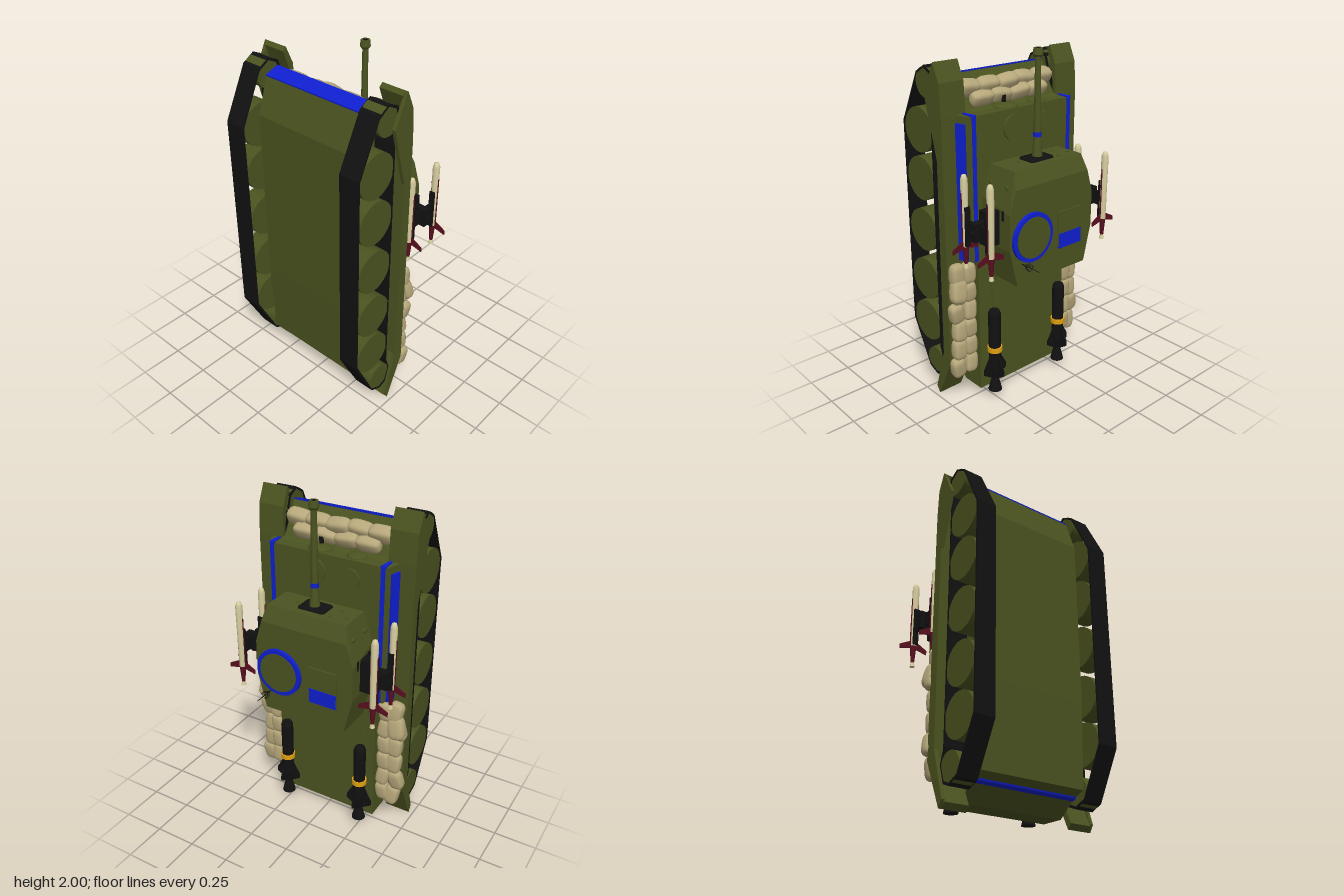
import * as THREE from 'three';
import { ConvexGeometry } from 'three/addons/geometries/ConvexGeometry.js';
import { RoundedBoxGeometry } from 'three/addons/geometries/RoundedBoxGeometry.js';

const paint = (color, extra = {}) => new THREE.MeshStandardMaterial({ color, ...extra });
const green = paint(0x4b5320), blue = paint(0x0f1fd0), black = paint(0x111111), cream = paint(0xd8cfa0);
const maroon = paint(0x5a1020, { side: THREE.DoubleSide }), yellow = paint(0xe0a010), tan = paint(0xb5a67a);
const V = (x, y, z) => new THREE.Vector3(x, y, z);

export function createModel() {
  const model = new THREE.Group();
  model.name = 'tankOnItsTail';

  const add = (name, geo, mat, parent = model) => {
    const mesh = new THREE.Mesh(geo, mat);
    mesh.name = name;
    parent.add(mesh);
    return mesh;
  };
  const box = (name, x, y, z, w, h, d, mat, parent) => {
    const m = add(name, new THREE.BoxGeometry(w, h, d), mat, parent);
    m.position.set(x, y, z);
    return m;
  };
  // Cylinder or cone between two points
  const rod = (name, a, b, ra, rb, mat, parent, sides = 20) => {
    const dir = b.clone().sub(a);
    const m = add(name, new THREE.CylinderGeometry(rb, ra, dir.length(), sides), mat, parent);
    m.position.copy(a).add(b).multiplyScalar(0.5);
    m.quaternion.setFromUnitVectors(V(0, 1, 0), dir.normalize());
    return m;
  };
  // Side profile of [z, y] points extruded across x
  const profile = (name, pts, x, width, mat, hole, parent) => {
    const shape = new THREE.Shape(pts.map(p => new THREE.Vector2(...p)));
    if (hole) shape.holes.push(new THREE.Path(hole.map(p => new THREE.Vector2(...p))));
    const geo = new THREE.ExtrudeGeometry(shape, { depth: width, bevelEnabled: false });
    geo.translate(0, 0, -width / 2).rotateY(-Math.PI / 2);
    const m = add(name, geo, mat, parent);
    m.position.x = x;
    return m;
  };

  // Hull
  profile('hull', [[-0.04, 0.06], [0.1, 0.06], [0.21, 0.15], [0.285, 0.18], [0.305, 0.65], [0.305, 1.64],
    [0.24, 1.84], [0.16, 1.865], [0.06, 1.69], [-0.04, 1.66]], 0, 0.64, green);
  profile('nosePlate', [[0.16, 1.84], [0.238, 1.82], [0.242, 1.845], [0.158, 1.872]], 0, 0.642, blue);
  profile('rearStrip', [[0.205, 0.15], [0.2, 0.138], [0.225, 0.148], [0.23, 0.162]], 0, 0.642, blue);
  add('superstructure', new ConvexGeometry([-1, 1].flatMap(s => [0.88, 1.68].flatMap(y =>
    [V(s * 0.36, y, -0.045), V(s * 0.385, y, 0.05), V(s * 0.3, y, 0.1)]))), green);
  box('engineCover', 0, 0.42, -0.04, 0.46, 0.6, 0.01, green);
  box('engineGrille', 0, 0.75, -0.042, 0.4, 0.04, 0.014, green);

  // Front plate fittings and roof hatches
  for (const [x, r] of [[-0.15, 0.055], [0.07, 0.07]]) {
    const dome = add('frontDome', new THREE.SphereGeometry(r, 24, 12), green);
    dome.scale.y = 0.35;
    dome.position.set(x, 1.68, 0.025);
    rod('roofHatch', V(x, 1.58, -0.04), V(x, 1.58, -0.056), r, r, green);
  }
  rod('hullGun', V(0.07, 1.68, 0.03), V(0.07, 1.74, 0.03), 0.012, 0.012, black);

  // Track loop outline
  const loop = [[0.41, 0.4], [0.41, 1.6], [0.27, 1.88], [0.2, 1.92], [0.14, 1.89], [0.12, 1.83], [0.15, 1.7],
    [0.15, 0.29], [0.12, 0.2], [0.15, 0.12], [0.2, 0.1], [0.27, 0.13]];
  const loopHole = loop.map(([z, y]) => [0.27 + (z - 0.27) * 0.93, 1 + (y - 1) * 0.986]);
  const wheels = [[0.275, 0.43, 0.123], [0.275, 0.7, 0.123], [0.275, 1, 0.123], [0.275, 1.3, 0.123],
    [0.275, 1.57, 0.123], [0.2, 1.832, 0.08], [0.205, 0.19, 0.082]];

  // Sandbag: a sphere squared off into a pillow
  const bagGeo = new THREE.SphereGeometry(1, 18, 12);
  const bp = bagGeo.attributes.position;
  for (let i = 0; i < bp.count; i++) {
    const q = [bp.getX(i), bp.getY(i), bp.getZ(i)].map(v => Math.sign(v) * Math.abs(v) ** 0.6);
    bp.setXYZ(i, ...q);
  }
  bagGeo.computeVertexNormals();
  const bag = (x, y, z, sx, sy, sz, tilt, roll) => {
    const m = add('sandbag', bagGeo, tan);
    m.position.set(x, y, z);
    m.scale.set(sx, sy, sz);
    m.rotation.set(roll, 0, tilt);
  };

  for (const s of [-1, 1]) {
    // Running gear
    const gear = new THREE.Group();
    gear.name = s > 0 ? 'leftRunningGear' : 'rightRunningGear';
    model.add(gear);
    profile('track', loop, s * 0.395, 0.12, black, loopHole, gear);
    for (const [z, y, r] of wheels)
      rod('roadWheel', V(s * 0.34, y, z), V(s * 0.452, y, z), r, r, green, gear, 36);

    // Fender and its outer skirt
    profile('fender', [[0.095, 1.95], [0.05, 1.85], [0.04, 1.68], [0.04, 0.25], [0.155, 0], [0.18, 0.03],
      [0.07, 0.27], [0.06, 1.66], [0.075, 1.82], [0.115, 1.93]], s * 0.39, 0.14, green);
    profile('skirt', [[0.095, 1.95], [0.05, 1.85], [0.04, 1.68], [0.04, 0.25], [0.155, 0], [0.18, 0.04],
      [0.1, 0.3], [0.09, 1.45], [0.18, 1.78]], s * 0.465, 0.02, green);

    // Blue trim on the superstructure
    box('roofStripe', s * 0.335, 1.28, -0.045, 0.025, 0.8, 0.006, blue);
    box('sidePanel', s * 0.375, 1.26, 0.01, 0.02, 0.76, 0.06, blue).rotation.y = s * 0.25;
    add('frontWedge', new ConvexGeometry([1.67, 1.686].flatMap(y =>
      [V(s * 0.32, y, -0.046), V(s * 0.352, y, -0.046), V(s * 0.345, y, 0.035), V(s * 0.33, y, 0.035)])), blue);

    // Sandbags along the rear fenders
    for (let i = 0; i < 6; i++) {
      const w = Math.sin(i * 2.3 + s);
      bag(s * 0.365, 0.25 + i * 0.112, -0.002, 0.04, 0.062, 0.036, w * 0.15, w * 0.12);
      bag(s * (0.43 + 0.012 * w), 0.23 + i * 0.116, 0.012, 0.044, 0.064, 0.034, -w * 0.2, -w * 0.15);
    }
    bag(s * 0.435, 0.72, -0.005, 0.05, 0.07, 0.035, s * 0.2, 0.2);

    // Rear bombs
    const bomb = new THREE.Group();
    bomb.name = 'rearBomb';
    bomb.position.set(s * 0.25, 0, -0.085);
    model.add(bomb);
    const outline = [[0, 0.05], [0.04, 0.05], [0.02, 0.13], [0.034, 0.2], [0.036, 0.55], [0.028, 0.57], [0, 0.57]];
    add('bombBody', new THREE.LatheGeometry(outline.map(p => new THREE.Vector2(...p)), 20), paint(0x111111, { flatShading: true }), bomb);
    rod('bombBand', V(0, 0.308, 0), V(0, 0.338, 0), 0.043, 0.043, yellow, bomb);
    for (let k = 0; k < 4; k++) {
      const fin = profile('bombFin', [[0.02, 0.13], [0.08, 0.17], [0.08, 0.2], [0.03, 0.29]], 0, 0.008, black, null, bomb);
      fin.rotation.y = k * Math.PI / 2;
    }

    // Launcher arm
    const arm = new THREE.Group();
    arm.name = 'launcherArm';
    model.add(arm);
    box('armBlock', s * 0.32, 1.115, -0.155, 0.1, 0.19, 0.075, black, arm);
    box('armBeam', s * 0.4, 1.115, -0.16, 0.1, 0.1, 0.045, black, arm);
    rod('armTip', V(s * 0.435, 1.115, -0.16), V(s * 0.46, 1.115, -0.16), 0.025, 0.004, black, arm, 8);
    box('armStrut', s * 0.415, 1.115, -0.16, 0.014, 0.08, 0.17, black, arm);

    // Missiles above and below the arm
    for (const z of [-0.265, -0.055]) {
      const missile = new THREE.Group();
      missile.name = 'missile';
      missile.position.set(s * 0.415, 0, z);
      model.add(missile);
      box('missileRail', 0, 1.115, z < -0.16 ? 0.022 : -0.022, 0.03, 0.22, 0.012, black, missile);
      const line = [[0, 0.995], [0.018, 1], [0.02, 1.37], [0.012, 1.395], [0, 1.4]];
      add('missileBody', new THREE.LatheGeometry(line.map(p => new THREE.Vector2(...p)), 16), cream, missile);
      rod('missileTail', V(0, 0.9, 0), V(0, 1, 0), 0.01, 0.018, maroon, missile);
      rod('missileNozzle', V(0, 0.875, 0), V(0, 0.905, 0), 0.014, 0.008, cream, missile);
      for (const t of [-1, 1]) {
        const fin = new THREE.Shape([[0, 1.04], [0.085 * t, 0.995], [0.085 * t, 0.97], [0, 0.99]].map(p => new THREE.Vector2(...p)));
        add('missileFin', new THREE.ExtrudeGeometry(fin, { depth: 0.006, bevelEnabled: false }), maroon, missile).position.z = -0.003;
        box('missileStripe', 0.018 * t, 1.15, 0, 0.008, 0.3, 0.006, maroon, missile);
      }
    }

    // Turret side pods
    for (const z of [-0.22, -0.095]) {
      rod('sidePod', V(s * 0.285, 1.16, z), V(s * 0.285, 1.215, z), 0.016, 0.016, black);
      box('sidePodLamp', s * 0.275, 1.215, z, 0.018, 0.014, 0.024, blue);
      rod('sideBolt', V(s * 0.25, 1.33, z), V(s * 0.275, 1.33, z), 0.012, 0.012, green);
    }
  }

  // Sandbags on the nose, in two staggered rows
  for (let i = 0; i < 5; i++) {
    const w = Math.sin(i * 2.1);
    bag(-0.25 + i * 0.125, 1.79, 0.1 + 0.008 * w, 0.075, 0.045, 0.042, w * 0.15, -0.5);
    if (i < 4) bag(-0.19 + i * 0.127, 1.735, 0.068, 0.072, 0.04, 0.036, -w * 0.15, -0.5);
  }

  // Turret
  rod('turretRing', V(0, 1.1, -0.03), V(0, 1.1, -0.06), 0.25, 0.25, green, model, 40);
  add('turret', new ConvexGeometry([-1, 1].flatMap(s => [
    V(s * 0.24, 1.42, -0.06), V(s * 0.24, 1.42, -0.245), V(s * 0.29, 1.25, -0.05), V(s * 0.26, 1.33, -0.28),
    V(s * 0.3, 1.2, -0.28), V(s * 0.29, 1.0, -0.05), V(s * 0.3, 1.0, -0.28),
    V(s * 0.25, 0.79, -0.055), V(s * 0.25, 0.79, -0.28)])), green);
  for (const [x, z] of [[-0.205, -0.175], [-0.115, -0.195], [-0.145, -0.112], [0.12, -0.14]])
    rod('frontBolt', V(x, 1.41, z), V(x, 1.425, z), 0.01, 0.01, green);

  // Gun
  const mantlet = add('mantlet', new RoundedBoxGeometry(0.16, 0.03, 0.11, 3, 0.014), black);
  mantlet.position.set(0, 1.42, -0.15);
  const gz = -0.155;
  rod('gunSleeve', V(0, 1.42, gz), V(0, 1.54, gz), 0.03, 0.02, green);
  rod('gunBand', V(0, 1.54, gz), V(0, 1.565, gz), 0.022, 0.022, blue);
  rod('gunBarrel', V(0, 1.565, gz), V(0, 1.97, gz), 0.02, 0.015, green);
  rod('muzzleCollar', V(0, 1.955, gz), V(0, 1.967, gz), 0.02, 0.028, green);
  rod('muzzleBrake', V(0, 1.967, gz), V(0, 2, gz), 0.028, 0.024, green);
  rod('bore', V(0, 1.99, gz), V(0, 2, gz), 0.013, 0.013, black).scale.y = 1.02;

  // Roof of the turret: cupola, vision panel, cover, antenna
  rod('cupolaLid', V(0.15, 1.05, -0.27), V(0.15, 1.05, -0.303), 0.115, 0.115, green, model, 40);
  const ring = new THREE.Shape().absarc(0, 0, 0.138, 0, Math.PI * 2);
  ring.holes.push(new THREE.Path().absarc(0, 0, 0.114, 0, Math.PI * 2));
  add('cupolaRing', new THREE.ExtrudeGeometry(ring, { depth: 0.025, bevelEnabled: false, curveSegments: 24 }), blue)
    .position.set(0.15, 1.05, -0.299);
  box('roofCover', -0.125, 1.04, -0.28, 0.17, 0.2, 0.02, green);
  box('roofPanel', -0.125, 0.97, -0.284, 0.165, 0.085, 0.02, blue);
  rod('antenna', V(0.215, 0.91, -0.28), V(0.215, 0.91, -0.41), 0.003, 0.002, black, model, 6);
  for (let k = 0; k < 4; k++) {
    const at = a => V(0.215 + 0.025 * Math.cos(a), 0.91 + 0.025 * Math.sin(a), -0.338);
    const a = k * Math.PI / 2;
    rod('antennaStay', V(0.215, 0.91, -0.298), at(a), 0.0015, 0.0015, black, model, 5);
    rod('antennaRim', at(a), at(a + Math.PI / 2), 0.0015, 0.0015, black, model, 5);
  }
  return model;
}
